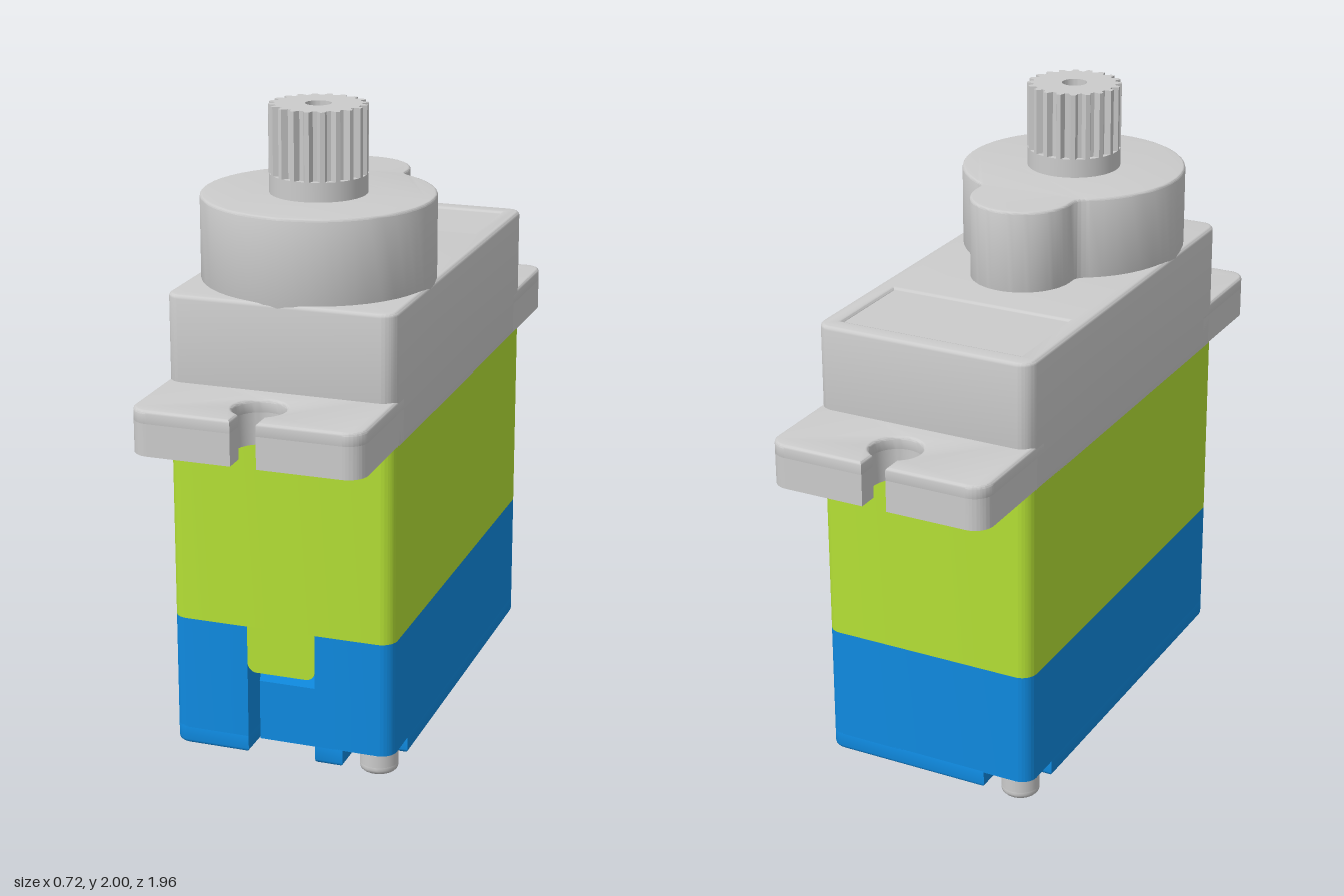
import * as THREE from 'three';
import { toCreasedNormals } from 'three/addons/utils/BufferGeometryUtils.js';

const PI = Math.PI;
const W = 0.36, L = 0.695, R = 0.05; // half width, half length, corner radius
const material = (color) => new THREE.MeshStandardMaterial({ color });

// Horizontal slab: plan shape in (x, z) between heights y0 and y1, edges bevelled inwards
function slab(shape, y0, y1, bevel = 0) {
  const g = new THREE.ExtrudeGeometry(shape, {
    depth: y1 - y0 - 2 * bevel, curveSegments: 20, bevelEnabled: bevel > 0,
    bevelThickness: bevel, bevelSize: bevel, bevelOffset: -bevel, bevelSegments: 3,
  });
  g.translate(0, 0, bevel).rotateX(PI / 2).translate(0, y1, 0);
  return toCreasedNormals(g, 0.6);
}

function polygon(points, Type = THREE.Shape) {
  return new Type(points.map(([x, y]) => new THREE.Vector2(x, y)));
}

function circlePath(r) {
  return new THREE.Path().absarc(0, 0, r, 0, 2 * PI, true);
}

// Case plan; optional front channel and the two diagonal screw cut-outs
function casePlan(channel = false, cutouts = false) {
  const s = new THREE.Shape(), a = 0.2, b = 0.54, r = 0.04;
  const corner = (sx, sz, start) =>
    s.absarc(sx * (W - R), sz * (L - R), R, start, start + PI / 2, false);
  const cutout = (k) => {
    s.lineTo(k * W, k * b);
    s.lineTo(k * (a + r), k * b);
    s.quadraticCurveTo(k * a, k * b, k * a, k * (b + r));
    s.lineTo(k * a, k * L);
  };
  if (cutouts) {
    s.moveTo(-W, -b);
    cutout(-1);
  } else {
    s.moveTo(-W, -L + R);
    corner(-1, -1, PI);
  }
  corner(1, -1, 1.5 * PI);
  if (cutouts) cutout(1);
  else corner(1, 1, 0);
  if (channel) {
    s.lineTo(0.11, L);
    s.lineTo(0.11, 0.54);
    s.lineTo(-0.11, 0.54);
    s.lineTo(-0.11, L);
  }
  corner(-1, 1, PI / 2);
  s.closePath();
  return s;
}

// Mounting lug plan with open keyhole
function lugPlan() {
  const s = new THREE.Shape();
  s.moveTo(-W, 0.6);
  s.lineTo(W, 0.6);
  s.lineTo(W, 0.92);
  s.absarc(0.3, 0.92, 0.06, 0, PI / 2, false);
  s.lineTo(0.04, 0.98);
  s.absarc(0, 0.845, 0.08, PI / 3, 2 * PI / 3, true);
  s.lineTo(-0.04, 0.98);
  s.absarc(-0.3, 0.92, 0.06, PI / 2, PI, false);
  s.closePath();
  return s;
}

// Rounded gear cover plan: large output disc joined to a small idler lobe
function coverPlan() {
  const s = new THREE.Shape();
  s.moveTo(0.2, 0.036);
  s.absarc(0, 0.335, 0.36, -0.981, PI + 0.981, false);
  s.quadraticCurveTo(-0.17, 0.02, -0.165, 0);
  s.absarc(0, -0.03, 0.165, PI, 2 * PI, false);
  s.lineTo(0.165, 0);
  s.quadraticCurveTo(0.17, 0.02, 0.2, 0.036);
  return s;
}

function splinePlan(teeth = 20, outer = 0.151, inner = 0.132) {
  const pts = [];
  for (let i = 0; i < teeth; i++) {
    [[0, inner], [0.3, inner], [0.5, outer], [0.8, outer]].forEach(([f, r]) => {
      const t = ((i + f) / teeth) * 2 * PI;
      pts.push([r * Math.cos(t), r * Math.sin(t)]);
    });
  }
  const s = polygon(pts);
  s.holes.push(circlePath(0.04));
  return s;
}

export function createModel() {
  const model = new THREE.Group();
  const grey = material(0xcccccc), lime = material(0xb4e035), blue = material(0x0f8ae0);
  const add = (name, geometry, mat, parent = model) => {
    const mesh = new THREE.Mesh(geometry, mat);
    mesh.name = name;
    parent.add(mesh);
    return mesh;
  };

  // Bottom case with front cable channel
  add('bottomCaseBase', slab(casePlan(true, true), 0.01, 0.08, 0.012), blue);
  add('bottomCase', slab(casePlan(true), 0.065, 0.435), blue);
  const insert = new THREE.ExtrudeGeometry(
    polygon([[0.54, 0.012], [0.595, 0.012], [0.595, 0.21], [0.56, 0.285], [0.54, 0.285]]),
    { depth: 0.22, bevelEnabled: false });
  add('cableChannelFloor', insert.rotateY(-PI / 2).translate(0.11, 0, 0), blue);

  // Middle case with the tab that closes the channel
  add('middleCase', slab(casePlan(), 0.435, 1.06), lime);
  const tab = new THREE.Shape();
  tab.moveTo(0.11, 0.435);
  tab.lineTo(-0.11, 0.435);
  tab.absarc(-0.08, 0.315, 0.03, PI, 1.5 * PI, false);
  tab.absarc(0.08, 0.315, 0.03, 1.5 * PI, 2 * PI, false);
  const tabGeometry = new THREE.ExtrudeGeometry(tab, { depth: L - 0.54, bevelEnabled: false });
  add('cableTab', toCreasedNormals(tabGeometry.translate(0, 0, 0.54), 0.6), lime);

  // Top case with a shallow recessed panel
  const top = casePlan();
  top.holes.push(polygon([[-0.3, -0.63], [-0.3, -0.32], [0.3, -0.32], [0.3, -0.63]], THREE.Path));
  add('topCase', slab(top, 1.045, 1.47, 0.012), grey);
  add('recessedPanel', new THREE.BoxGeometry(0.64, 0.38, 0.35).translate(0, 1.272, -0.475), grey);
  add('gearCover', slab(coverPlan(), 1.45, 1.73, 0.008), grey);

  // Mounting lugs, hollow below with ribs around the screw hole
  const rim = lugPlan();
  for (const k of [-1, 1]) {
    rim.holes.push(
      polygon([[0.05, 0.71], [0.31, 0.71], [0.31, 0.825], [0.132, 0.825], [0.105, 0.765]]
        .map(([x, z]) => [k * x, z]), THREE.Path),
      polygon([[0.132, 0.865], [0.31, 0.865], [0.31, 0.935], [0.085, 0.935], [0.11, 0.915]]
        .map(([x, z]) => [k * x, z]), THREE.Path));
  }
  const plateGeometry = slab(lugPlan(), 1.15, 1.2, 0.01);
  const rimGeometry = slab(rim, 1.06, 1.16);
  ['frontLug', 'backLug'].forEach((name, i) => {
    const lug = new THREE.Group();
    lug.name = name;
    lug.rotation.y = i * PI;
    add(name + 'Plate', plateGeometry, grey, lug);
    add(name + 'Rim', rimGeometry, grey, lug);
    model.add(lug);
  });

  // Output shaft
  const shaft = new THREE.Group();
  shaft.name = 'outputShaft';
  shaft.position.z = 0.335;
  add('shaftCollar', new THREE.CylinderGeometry(0.15, 0.15, 0.08, 48).translate(0, 1.75, 0), grey, shaft);
  add('shaftSpline', slab(splinePlan(), 1.79, 2), grey, shaft);
  model.add(shaft);

  // Case screws with cross recess, at opposite corners
  const a = 0.009, c = 0.032;
  const head = new THREE.Shape().absarc(0, 0, 0.06, 0, 2 * PI, false);
  head.holes.push(polygon([[a, a], [c, a], [c, -a], [a, -a], [a, -c], [-a, -c],
    [-a, -a], [-c, -a], [-c, a], [-a, a], [-a, c], [a, c]], THREE.Path));
  const headGeometry = slab(head, 0, 0.04, 0.015);
  const neckGeometry = new THREE.CylinderGeometry(0.06, 0.06, 0.04, 40).translate(0, 0.045, 0);
  for (const k of [1, -1]) {
    const screw = new THREE.Group();
    screw.name = k > 0 ? 'frontScrew' : 'backScrew';
    screw.position.set(0.3 * k, 0, 0.638 * k);
    add('screwHead', headGeometry, grey, screw);
    add('screwNeck', neckGeometry, grey, screw);
    model.add(screw);
  }
  return model;
}
